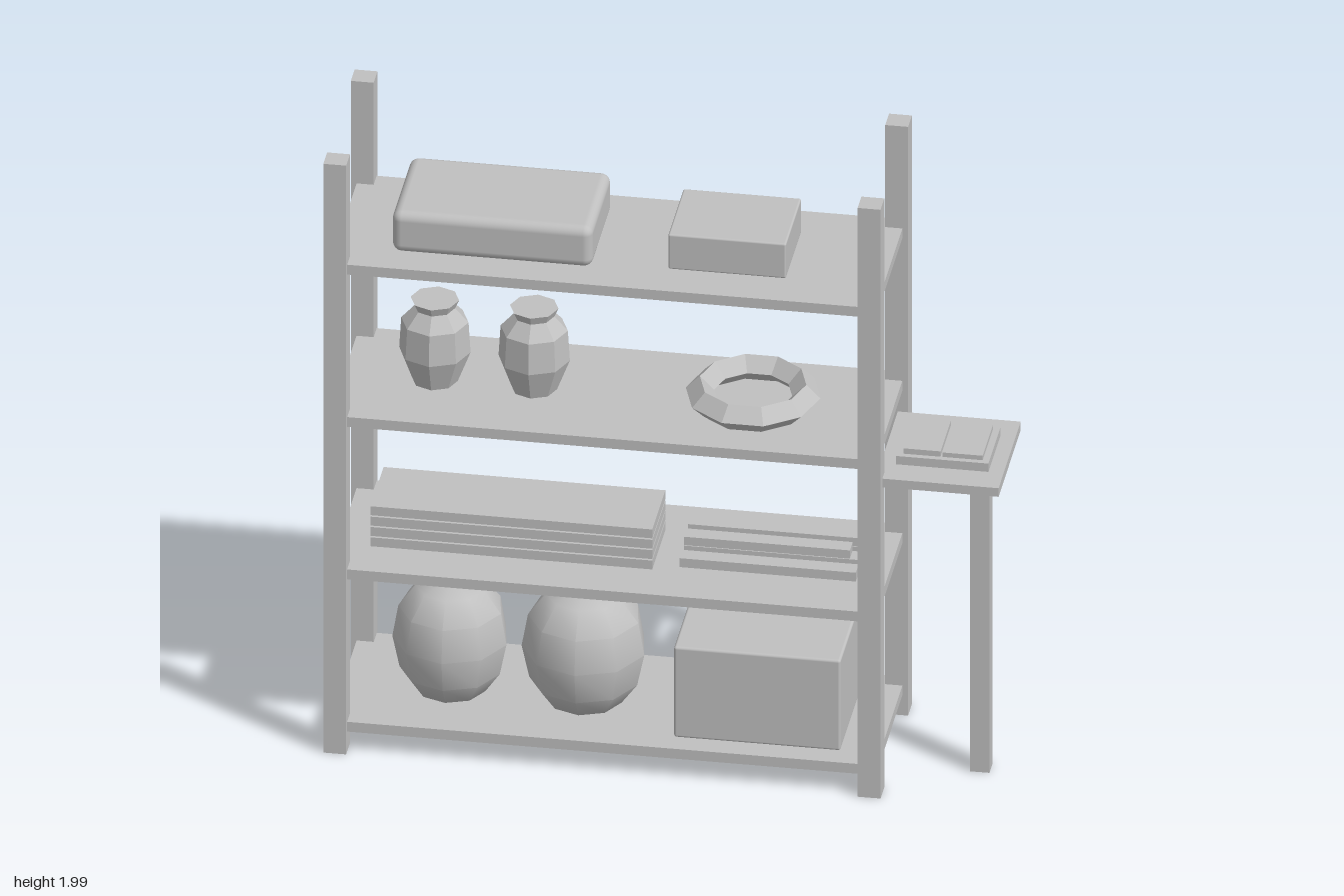
import * as THREE from 'three';
import { toCreasedNormals } from 'three/addons/utils/BufferGeometryUtils.js';
import { RoundedBoxGeometry } from 'three/addons/geometries/RoundedBoxGeometry.js';

export function createModel() {
  const model = new THREE.Group();
  model.name = 'storageShelf';
  const grey = new THREE.MeshStandardMaterial({ color: 0xc0c0c0 });
  grey.name = 'plain grey';
  const facetedGrey = grey.clone();
  facetedGrey.flatShading = true;

  function add(name, geometry, x, y, z, material = grey) {
    const mesh = new THREE.Mesh(geometry, material);
    mesh.name = name;
    mesh.position.set(x, y, z);
    model.add(mesh);
    return mesh;
  }

  // Box given by its limits on each axis, optionally with rounded edges
  function box(name, [x0, x1], [y0, y1], [z0, z1], radius = 0) {
    const size = [x1 - x0, y1 - y0, z1 - z0];
    const geometry = radius
      ? new RoundedBoxGeometry(...size, 3, radius)
      : new THREE.BoxGeometry(...size);
    return add(name, geometry, (x0 + x1) / 2, (y0 + y1) / 2, (z0 + z1) / 2);
  }

  function lathe(points, sides) {
    return new THREE.LatheGeometry(points.map(([r, y]) => new THREE.Vector2(r, y)), sides);
  }

  // Corner posts
  for (const x of [-0.966, 0.621]) {
    for (const z of [-0.247, 0.247]) {
      box('post', [x - 0.034, x + 0.034], [0, 1.99], [z - 0.034, z + 0.034]);
    }
  }

  // Shelves
  const shelfTops = [0.1, 0.615, 1.13, 1.645];
  for (const top of shelfTops) {
    box('shelf', [-0.983, 0.638], [top - 0.033, top], [-0.267, 0.263]);
  }

  // Side table with a single leg
  box('tableTop', [0.635, 1], [1.033, 1.062], [-0.15, 0.247]);
  box('tableLeg', [0.888, 0.945], [0, 1.033], [0.025, 0.08]);

  // Open book on the side table
  box('bookCover', [0.68, 0.955], [1.062, 1.09], [-0.062, 0.157]);
  box('bookPages', [0.7, 0.81], [1.09, 1.108], [-0.045, 0.14]);
  box('bookPages', [0.815, 0.935], [1.09, 1.105], [-0.045, 0.14]);

  // Cases on the top shelf
  box('largeCase', [-0.815, -0.22], [1.645, 1.78], [-0.178, 0.175], 0.028);
  box('smallCase', [0, 0.35], [1.645, 1.762], [-0.14, 0.135], 0.006);

  // Jars
  const jar = lathe([
    [0, 0], [0.068, 0], [0.106, 0.1], [0.1, 0.2], [0.06, 0.245], [0.072, 0.272], [0, 0.272],
  ], 8);
  for (const x of [-0.715, -0.42]) add('jar', jar, x, 1.13, 0, facetedGrey);

  // Ring-shaped dish
  const dish = new THREE.TorusGeometry(0.158, 0.042, 4, 10).rotateX(-Math.PI / 2);
  add('ringDish', dish, 0.23, 1.172, 0, facetedGrey);

  // Stack of planks
  for (let i = 0; i < 4; i++) {
    const y = 0.615 + i * 0.035;
    box('plank', [-0.887, -0.05], [y, y + 0.03], [-0.117, 0.117]);
  }

  // Loose battens, two laid over three
  for (const z of [-0.085, -0.01, 0.065]) {
    box('lowerBatten', [0.027, 0.55], [0.615, 0.645], [z - 0.025, z + 0.025]);
  }
  box('upperBatten', [0.027, 0.55], [0.647, 0.675], [-0.11, -0.06]);
  box('upperBatten', [0.027, 0.52], [0.647, 0.675], [-0.035, 0.015]);

  // Sacks on the bottom shelf
  const sack = toCreasedNormals(lathe([
    [0, 0], [0.62, 0], [0.88, 0.18], [1, 0.46], [0.9, 0.74], [0.6, 0.93], [0, 1],
  ], 9), 0.75);
  for (const [x, radius, height] of [[-0.667, 0.172, 0.365], [-0.27, 0.185, 0.375]]) {
    add('sack', sack, x, 0.1, 0).scale.set(radius, height, radius);
  }

  // Crate
  box('crate', [0.027, 0.522], [0.1, 0.405], [-0.197, 0.197], 0.008);

  return model;
}
